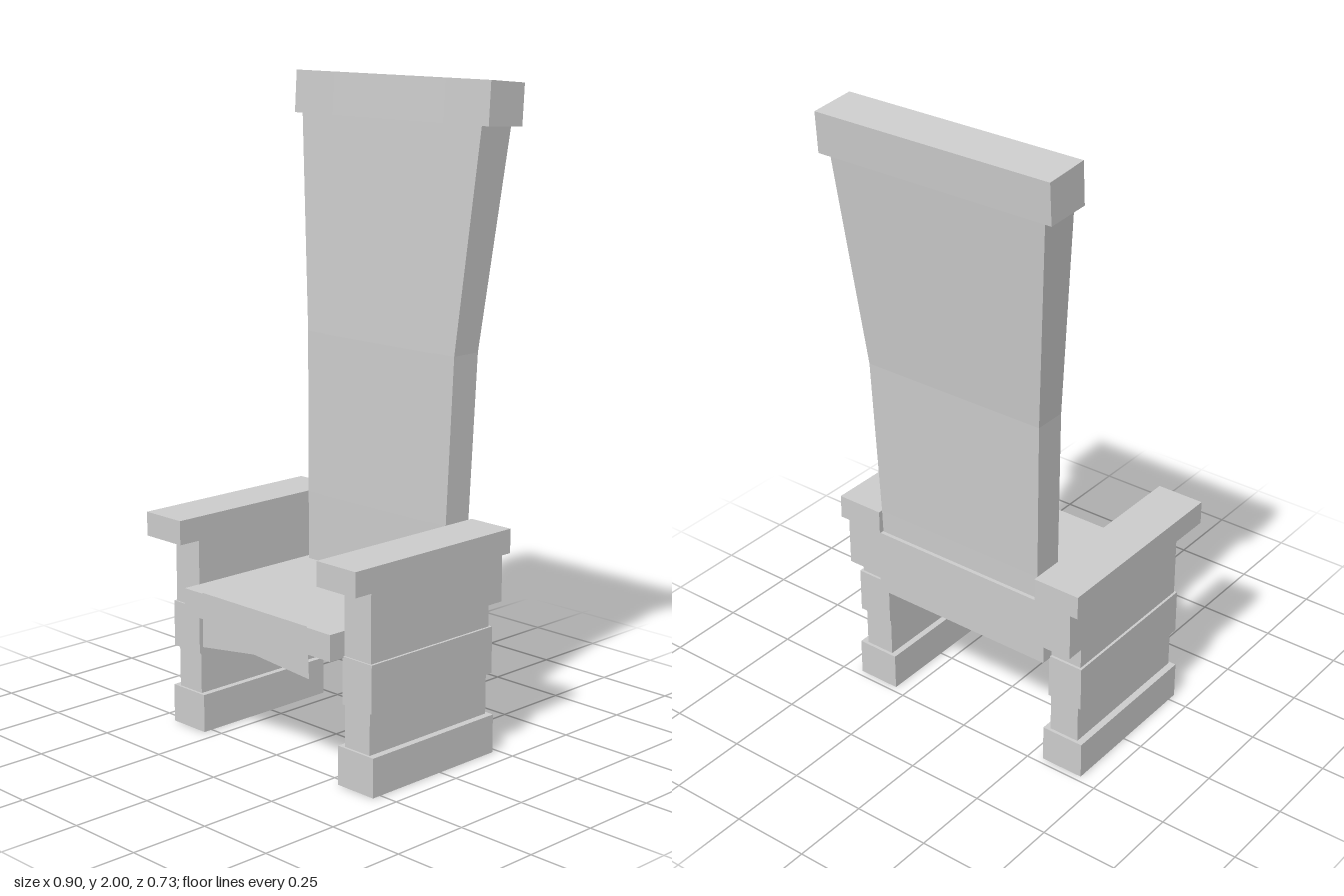
import * as THREE from 'three';

const grey = new THREE.MeshStandardMaterial({ color: 0xcccccc, flatShading: true });
const cloth = new THREE.MeshStandardMaterial({ color: 0xcccccc, flatShading: true, side: THREE.DoubleSide });

// Box given by its limits on each axis
function block(name, [x0, x1], [y0, y1], [z0, z1]) {
  const geometry = new THREE.BoxGeometry(x1 - x0, y1 - y0, z1 - z0);
  geometry.translate((x0 + x1) / 2, (y0 + y1) / 2, (z0 + z1) / 2);
  const mesh = new THREE.Mesh(geometry, grey);
  mesh.name = name;
  return mesh;
}

// Slab lofted through levels of [y, half width, front z, back z]
function loftedSlab(name, levels) {
  const geometry = new THREE.BoxGeometry(1, 1, 1, 1, levels.length - 1, 1);
  const p = geometry.attributes.position;
  for (let i = 0; i < p.count; i++) {
    const [y, w, front, back] = levels[Math.round((p.getY(i) + 0.5) * (levels.length - 1))];
    p.setXYZ(i, Math.sign(p.getX(i)) * w, y, p.getZ(i) > 0 ? front : back);
  }
  geometry.computeVertexNormals();
  const mesh = new THREE.Mesh(geometry, grey);
  mesh.name = name;
  return mesh;
}

// Thin cloth sheet swept across x along a path of [y, z]
function sheet(name, halfWidth, path) {
  const geometry = new THREE.PlaneGeometry(1, 1, 1, path.length - 1);
  const p = geometry.attributes.position;
  for (let i = 0; i < p.count; i++) {
    const [y, z] = path[Math.floor(i / 2)];
    p.setXYZ(i, Math.sign(p.getX(i)) * halfWidth, y, z);
  }
  geometry.computeVertexNormals();
  const mesh = new THREE.Mesh(geometry, cloth);
  mesh.name = name;
  return mesh;
}

export function createModel() {
  const chair = new THREE.Group();
  chair.name = 'highBackChair';

  // Stacked slab legs and armrests, one set per side
  const slabs = [
    ['foot', 0.295, 0.437, 0, 0.12, -0.23, 0.28],
    ['lowerLeg', 0.315, 0.415, 0.12, 0.25, -0.22, 0.272],
    ['middleLeg', 0.312, 0.43, 0.25, 0.395, -0.228, 0.28],
    ['armSupport', 0.315, 0.422, 0.395, 0.615, -0.22, 0.275],
    ['armrest', 0.295, 0.45, 0.615, 0.69, -0.28, 0.365],
  ];
  for (const side of [1, -1]) {
    const group = new THREE.Group();
    group.name = side > 0 ? 'leftSide' : 'rightSide';
    for (const [name, inner, outer, y0, y1, z0, z1] of slabs) {
      const xs = side > 0 ? [inner, outer] : [-outer, -inner];
      group.add(block(name, xs, [y0, y1], [z0, z1]));
    }
    chair.add(group);
  }

  // Seat plank and rear cross beam
  chair.add(block('seat', [-0.316, 0.316], [0.39, 0.47], [-0.262, 0.332]));
  chair.add(block('rearBeam', [-0.422, 0.422], [0.46, 0.615], [-0.277, -0.22]));

  // Flaring, backward-bending backrest
  chair.add(loftedSlab('backrest', [
    [0.45, 0.29, -0.163, -0.262],
    [0.69, 0.295, -0.166, -0.266],
    [1.2, 0.309, -0.179, -0.282],
    [1.88, 0.371, -0.217, -0.345],
  ]));

  // Tilted top rail
  const profile = new THREE.Shape([[-0.212, 1.87], [-0.357, 1.862], [-0.365, 1.987], [-0.22, 2]]
    .map(([z, y]) => new THREE.Vector2(-z, y)));
  const railGeometry = new THREE.ExtrudeGeometry(profile, { depth: 0.8, bevelEnabled: false });
  railGeometry.translate(0, 0, -0.4).rotateY(Math.PI / 2);
  const rail = new THREE.Mesh(railGeometry, grey);
  rail.name = 'topRail';
  chair.add(rail);

  // Cloth runner over backrest and seat
  chair.add(sheet('clothRunner', 0.228, [
    [1.995, -0.216], [1.87, -0.207], [1.2, -0.172], [0.69, -0.159], [0.476, -0.157], [0.476, 0.338],
  ]));

  // Cloth flap with a notched hem hanging at the front
  const flapShape = new THREE.Shape([[-0.228, 0.476], [-0.228, 0.305], [0, 0.337], [0.235, 0.32], [0.228, 0.476]]
    .map(([x, y]) => new THREE.Vector2(x, y)));
  const flap = new THREE.Mesh(new THREE.ShapeGeometry(flapShape), cloth);
  flap.position.z = 0.338;
  flap.name = 'clothFlap';
  chair.add(flap);

  return chair;
}
